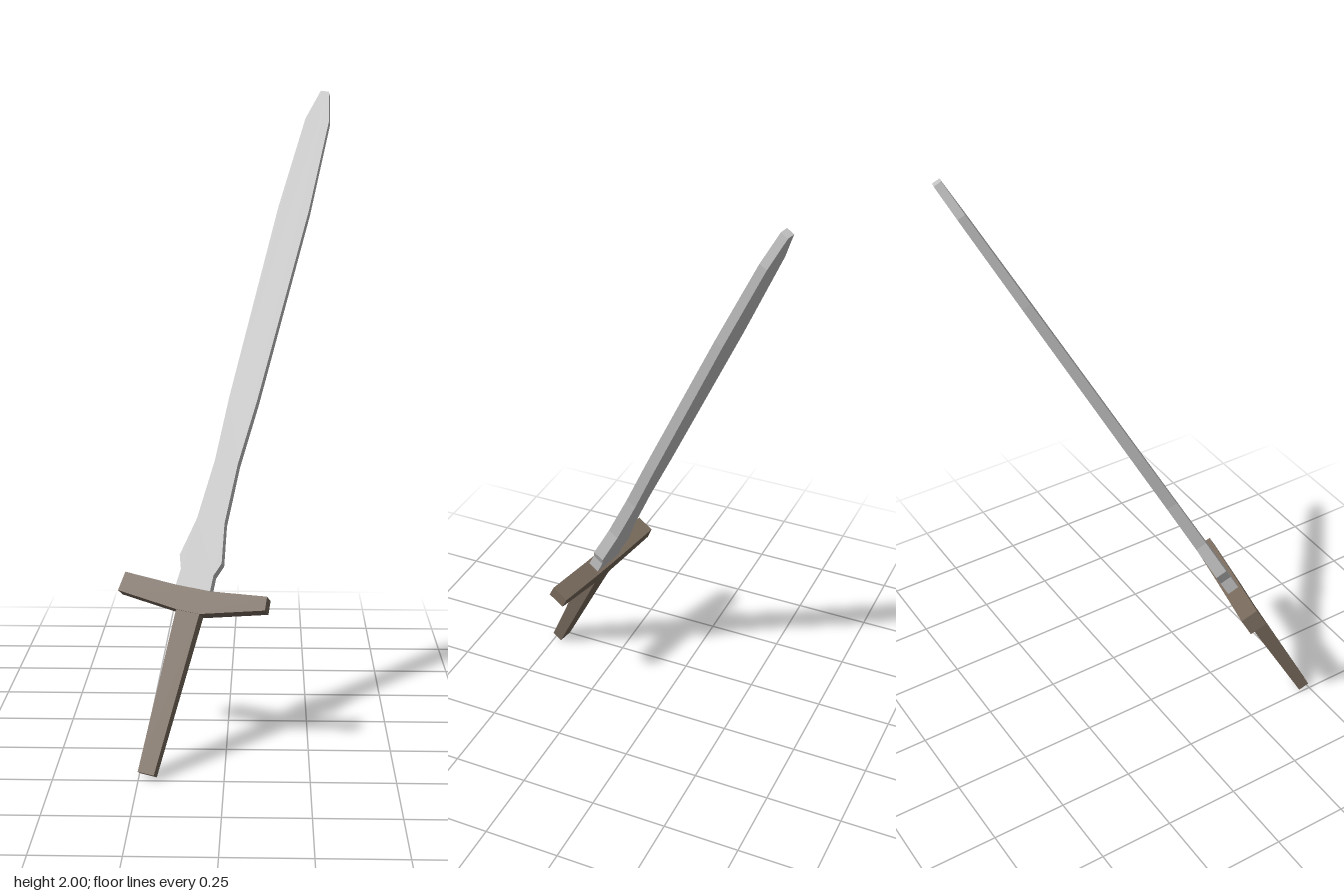
import * as THREE from 'three';

// Extrudes an outline whose thickness runs linearly from t0 at v0 to t1 at v1
function slab(name, points, material, v0, t0, v1, t1) {
  const shape = new THREE.Shape(points.map(([u, v]) => new THREE.Vector2(u, v)));
  const geometry = new THREE.ExtrudeGeometry(shape, { depth: 1, bevelEnabled: false });
  geometry.translate(0, 0, -0.5);
  const pos = geometry.attributes.position;
  for (let i = 0; i < pos.count; i++) {
    const k = THREE.MathUtils.clamp((pos.getY(i) - v0) / (v1 - v0), 0, 1);
    pos.setZ(i, pos.getZ(i) * THREE.MathUtils.lerp(t0, t1, k));
  }
  geometry.computeVertexNormals();
  const mesh = new THREE.Mesh(geometry, material);
  mesh.name = name;
  return mesh;
}

export function createModel() {
  const steel = new THREE.MeshStandardMaterial({ color: 0xc4c4c4 });
  steel.name = 'steel';
  const wood = new THREE.MeshStandardMaterial({ color: 0x786a5c });
  wood.name = 'brown wood';

  const sword = new THREE.Group();
  sword.name = 'sword';

  // Blade: [half width, distance along the axis], mirrored about its centre line
  const halfBlade = [
    [0.055, 0.02], [0.052, 0.086], [0.067, 0.127], [0.044, 0.25], [0.037, 0.44],
    [0.045, 0.65], [0.051, 1.31], [0.040, 1.64], [0.0135, 1.748],
  ];
  const centre = -0.004;
  const right = halfBlade.map(([w, v]) => [centre + w, v]);
  const left = halfBlade.map(([w, v]) => [centre - w, v]).reverse();
  sword.add(slab('blade', [...right, ...left], steel, 0.04, 0.04, 1.75, 0.025));

  // Crossguard, arms swept slightly towards the blade
  sword.add(slab('crossguard', [
    [-0.227, -0.020], [-0.036, -0.038], [0.038, -0.038], [0.230, 0.014],
    [0.226, 0.056], [0.056, 0.036], [-0.052, 0.034], [-0.220, 0.040],
  ], wood, 0, 0.06, 1, 0.06));

  // Tapered grip
  sword.add(slab('grip', [
    [-0.024, -0.525], [0.026, -0.525], [0.038, -0.03], [-0.036, -0.03],
  ], wood, -0.525, 0.038, -0.03, 0.055));

  // Lean the whole sword back and to the side
  const along = new THREE.Vector3(0.236, 0.870, -0.432).normalize();
  const across = new THREE.Vector3(0.956, -0.128, 0.265);
  const facing = new THREE.Vector3().crossVectors(across, along).normalize();
  across.crossVectors(along, facing);
  sword.quaternion.setFromRotationMatrix(new THREE.Matrix4().makeBasis(across, along, facing));
  sword.position.set(-0.1015, 0.471, 0.256);

  const model = new THREE.Group();
  model.name = 'model';
  model.add(sword);
  return model;
}
